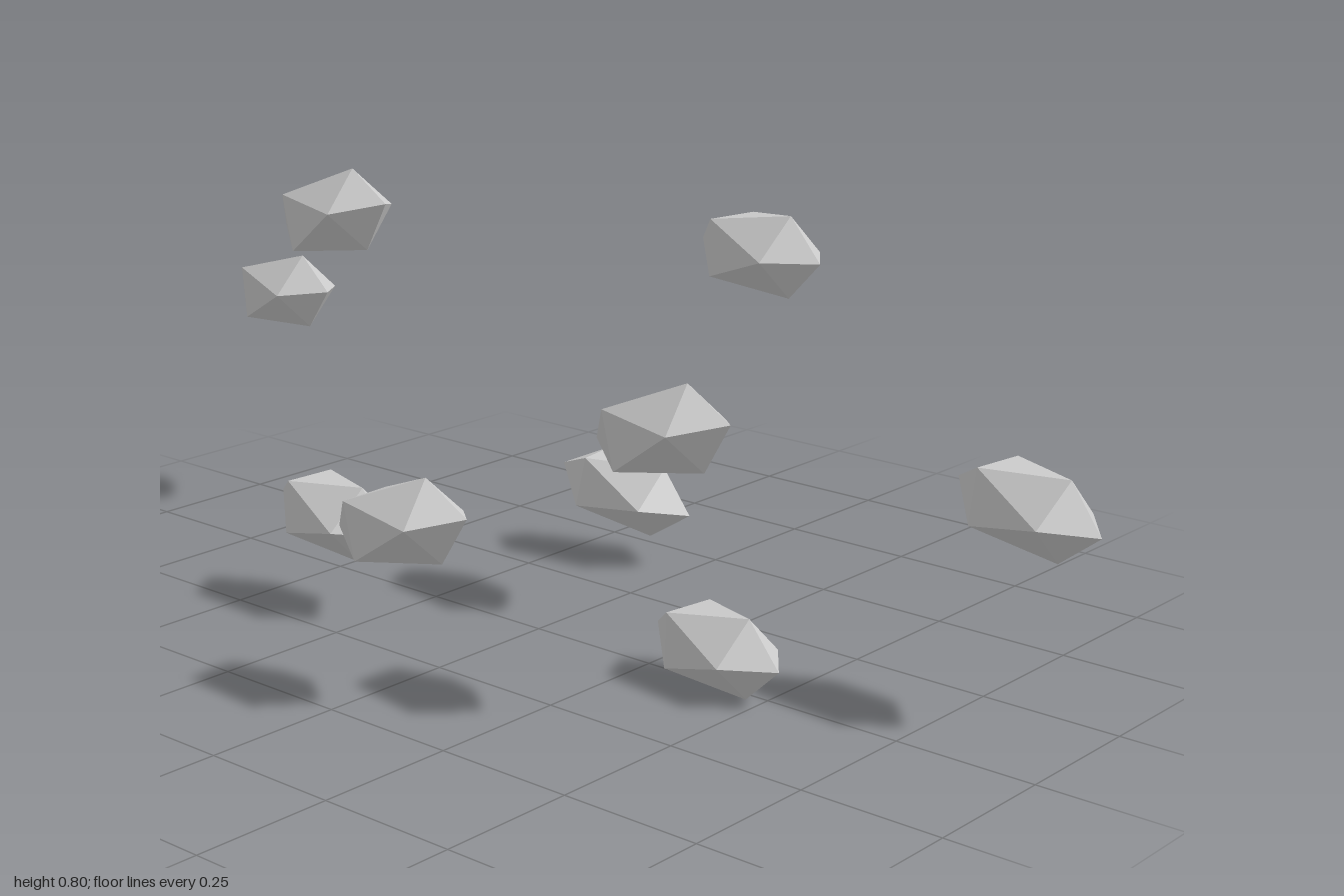
import * as THREE from 'three';

const RADIUS = 0.07, RING_Z = 0.071, TIP_Z = 0.142;

// Faceted shard along z: two tips and two four-sided rings turned 45 degrees apart
function shardGeometry() {
  const points = [0, 0, TIP_Z, 0, 0, -TIP_Z];
  for (const [z, turn] of [[RING_Z, 0], [-RING_Z, Math.PI / 4]]) {
    for (let i = 0; i < 4; i++) {
      const a = turn + i * Math.PI / 2;
      points.push(RADIUS * Math.cos(a), RADIUS * Math.sin(a), z);
    }
  }
  const faces = [];
  for (let i = 0; i < 4; i++) {
    const j = (i + 1) % 4;
    const f0 = 2 + i, f1 = 2 + j, b0 = 6 + i, b1 = 6 + j;
    faces.push(0, f0, f1, f0, b0, f1, b0, b1, f1, 1, b1, b0);
  }
  const indexed = new THREE.BufferGeometry();
  indexed.setAttribute('position', new THREE.Float32BufferAttribute(points, 3));
  indexed.setIndex(faces);
  const geometry = indexed.toNonIndexed();
  geometry.computeVertexNormals();
  return geometry;
}

// Centre of each shard, then the x and y lean of its front tip
const SHARDS = [
  [0.248, 0.675, 0.277, -0.16, 0],
  [-0.158, 0.717, -0.328, -0.09, 0.26],
  [-0.412, 0.312, 0.078, 0.035, 0.235],
  [-0.203, 0.486, 0.436, -0.045, 0.26],
  [-0.162, 0.178, -0.341, -0.055, -0.09],
  [-0.011, 0.072, 0.402, -0.135, -0.03],
  [0.399, 0.135, -0.138, 0.145, -0.205],
  [0.178, 0.365, 0.858, -0.126, -0.125],
  [0.208, 0.441, -0.86, -0.125, 0.135],
];

export function createModel() {
  const model = new THREE.Group();
  model.name = 'floatingShards';
  const stone = new THREE.MeshStandardMaterial({ color: 0xcccccc });
  stone.name = 'paleGrey';
  stone.flatShading = true;
  const geometry = shardGeometry();
  SHARDS.forEach(([x, y, z, leanX, leanY], i) => {
    const shard = new THREE.Mesh(geometry, stone);
    shard.name = `shard${i + 1}`;
    shard.position.set(x, y, z);
    shard.rotation.set(-Math.asin(leanY), Math.asin(leanX), 0, 'YXZ');
    model.add(shard);
  });
  return model;
}
